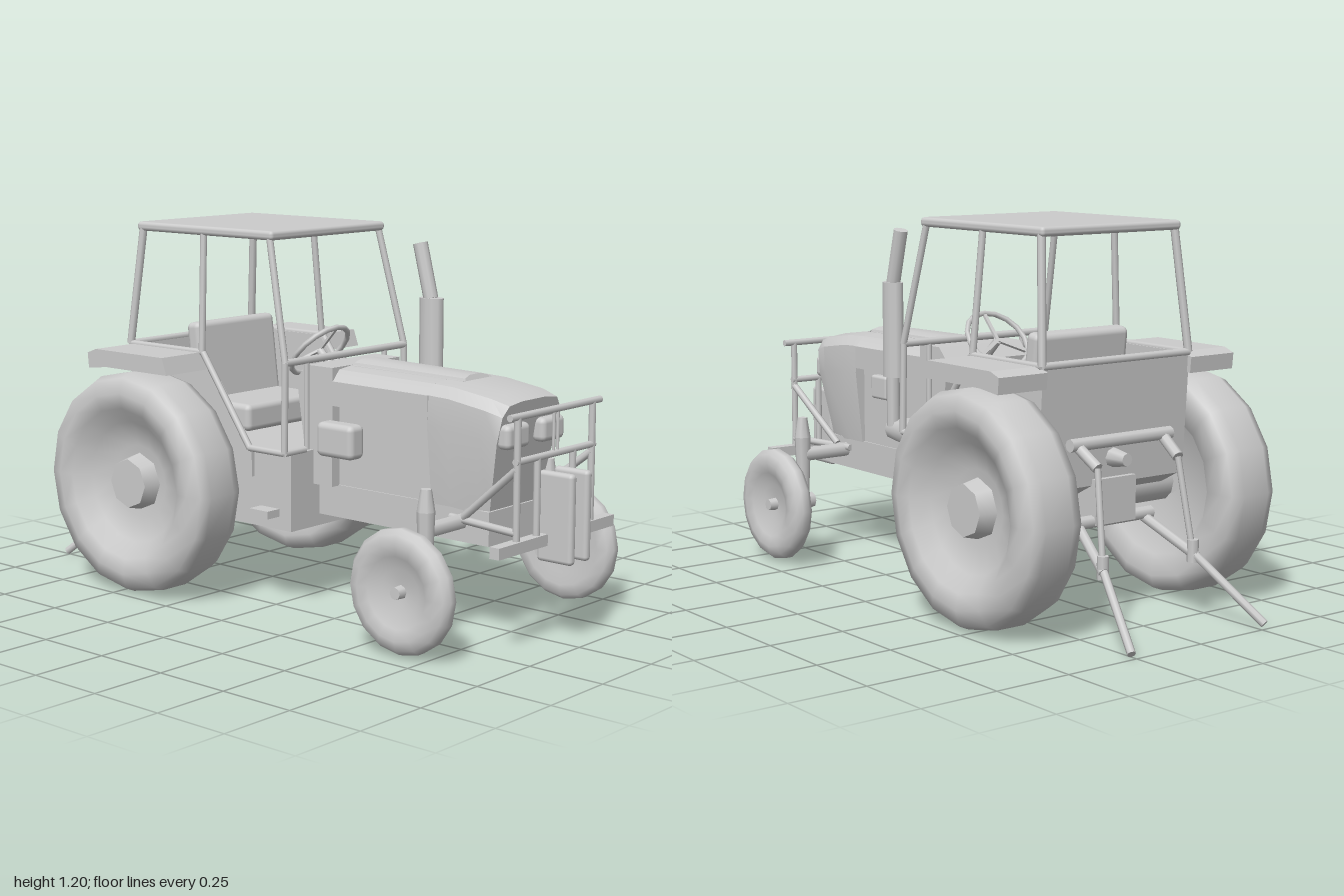
import * as THREE from 'three';
import { toCreasedNormals } from 'three/addons/utils/BufferGeometryUtils.js';
import { RoundedBoxGeometry } from 'three/addons/geometries/RoundedBoxGeometry.js';

const mat = new THREE.MeshStandardMaterial({ color: 0xcccccc });
const matDouble = new THREE.MeshStandardMaterial({ color: 0xcccccc, side: THREE.DoubleSide });
const V = (p) => new THREE.Vector3(...p);

export function createModel() {
  const model = new THREE.Group();
  model.name = 'tractor';

  const add = (name, geo, x = 0, y = 0, z = 0, parent = model, m = mat) => {
    const mesh = new THREE.Mesh(geo, m);
    mesh.name = name;
    mesh.position.set(x, y, z);
    parent.add(mesh);
    return mesh;
  };
  const box = (name, w, h, d, x, y, z) => add(name, new THREE.BoxGeometry(w, h, d), x, y, z);
  const soft = (name, w, h, d, x, y, z, r = 0.02) => add(name, new RoundedBoxGeometry(w, h, d, 2, r), x, y, z);
  // Round bar from a to b, optionally tapered
  const rod = (name, a, b, r, r2 = r, sides = 8) => {
    const from = V(a), dir = V(b).sub(from);
    const mesh = add(name, new THREE.CylinderGeometry(r2, r, dir.length(), sides));
    mesh.position.copy(from).addScaledVector(dir, 0.5);
    mesh.quaternion.setFromUnitVectors(new THREE.Vector3(0, 1, 0), dir.normalize());
    return mesh;
  };
  // Side profile of [z, y] points, extruded across x
  const profile = (name, pts, width, x = 0) => {
    const shape = new THREE.Shape(pts.map((p) => new THREE.Vector2(...p)));
    const geo = new THREE.ExtrudeGeometry(shape, { depth: width, bevelEnabled: false });
    geo.translate(0, 0, -width / 2).rotateY(-Math.PI / 2);
    return add(name, geo, x, 0, 0, model, matDouble);
  };
  // Loft of hood sections, back to front: [zTop, zBottom, halfTop, halfBottom, yTop, yBottom]
  const loft = (name, sections) => {
    const rings = sections.map(([zt, zb, w, wb, t, b]) => {
      const half = [[wb, b], [w, t - (t - b) * 0.35], [w * 0.97, t - 0.04], [w * 0.8, t - 0.008], [w * 0.4, t]];
      return [...half, ...half.map(([x, y]) => [-x, y]).reverse()]
        .map(([x, y]) => [x, y, zb + (zt - zb) * (y - b) / (t - b)]);
    });
    const pos = [], n = rings[0].length, last = rings.length - 1;
    const tri = (...p) => p.forEach((q) => pos.push(...q));
    for (let i = 0; i < last; i++) for (let j = 0; j < n; j++) {
      const k = (j + 1) % n, A = rings[i], B = rings[i + 1];
      tri(A[j], A[k], B[k]);
      tri(A[j], B[k], B[j]);
    }
    for (let j = 1; j < n - 1; j++) {
      tri(rings[last][0], rings[last][j], rings[last][j + 1]);
      tri(rings[0][0], rings[0][j + 1], rings[0][j]);
    }
    const geo = new THREE.BufferGeometry();
    geo.setAttribute('position', new THREE.Float32BufferAttribute(pos, 3));
    return add(name, toCreasedNormals(geo, 0.6));
  };
  // Dished wheel, axis along x, outer face toward side s
  const wheel = (name, pts, sides, x, y, z, s) => {
    const group = new THREE.Group();
    group.name = name;
    const geo = new THREE.LatheGeometry(pts.map((p) => new THREE.Vector2(...p)), sides);
    geo.rotateZ(-Math.PI / 2);
    add('tyre', geo, 0, 0, 0, group, matDouble);
    group.position.set(x, y, z);
    if (s < 0) group.rotation.y = Math.PI;
    model.add(group);
    return group;
  };
  const hub = (group, r, len, x, sides) =>
    add('hub', new THREE.CylinderGeometry(r * 0.85, r, len, sides).rotateZ(-Math.PI / 2), x, 0, 0, group);

  // Hood, engine and chassis
  loft('hoodFront', [
    [0.545, 0.545, 0.165, 0.14, 0.775, 0.4], [0.62, 0.62, 0.165, 0.14, 0.772, 0.4],
    [0.76, 0.71, 0.163, 0.13, 0.752, 0.39], [0.82, 0.75, 0.15, 0.12, 0.735, 0.39]]);
  loft('hoodRear', [[0.15, 0.15, 0.165, 0.165, 0.78, 0.66], [0.546, 0.546, 0.165, 0.165, 0.775, 0.66]]);
  loft('hoodRidge', [[0.17, 0.17, 0.08, 0.08, 0.795, 0.75], [0.6, 0.62, 0.07, 0.08, 0.788, 0.75]]);
  box('engine', 0.26, 0.28, 0.47, 0, 0.53, 0.32);
  box('chassisBeam', 0.27, 0.105, 0.68, 0, 0.35, 0.42);
  profile('cowl', [[0.165, 0.4], [0.165, 0.78], [0.06, 0.78], [0.015, 0.735], [0.05, 0.5], [0.05, 0.4]], 0.33);
  profile('belly', [[0.085, 0.26], [0.085, 0.51], [-0.6, 0.51], [-0.6, 0.42], [-0.3, 0.26]], 0.54);
  soft('engineSidePanel', 0.04, 0.08, 0.09, 0.135, 0.605, 0.425, 0.01);
  soft('airFilter', 0.07, 0.11, 0.15, -0.185, 0.56, 0.215);
  rod('hornCone', [0.17, 0.55, 0.05], [0.17, 0.55, 0.0], 0.035, 0.01);
  rod('silencerBox', [0.18, 0.485, 0.3], [0.18, 0.485, 0.15], 0.035, 0.055);

  // Exhaust stack
  rod('exhaustLower', [0.2, 0.5, 0.27], [0.2, 0.67, 0.27], 0.022);
  rod('exhaustMuffler', [0.2, 0.665, 0.268], [0.2, 0.977, 0.268], 0.03, 0.03, 12).scale.z = 1.45;
  rod('exhaustPipe', [0.2, 0.975, 0.265], [0.2, 1.15, 0.22], 0.024, 0.024, 10);

  // Steering wheel with spokes
  const steering = new THREE.Group();
  steering.name = 'steeringWheel';
  add('rim', new THREE.TorusGeometry(0.11, 0.009, 6, 16), 0, 0, 0, steering);
  for (let i = 0; i < 3; i++) {
    const spoke = add('spoke', new THREE.BoxGeometry(0.012, 0.11, 0.008).translate(0, 0.055, 0), 0, 0, 0, steering);
    spoke.rotation.z = i * Math.PI * 2 / 3;
  }
  steering.position.set(0, 0.8, -0.035);
  steering.rotation.x = 0.74;
  model.add(steering);
  rod('steeringColumn', [0, 0.8, -0.035], [0, 0.69, 0.08], 0.014);

  // Cab floor parts, seat, back wall and roof
  soft('seatBack', 0.37, 0.33, 0.06, 0, 0.71, -0.42).rotation.x = -0.12;
  soft('seatCushion', 0.37, 0.09, 0.24, 0, 0.58, -0.3);
  profile('cabBackWall', [[-0.625, 0.8], [-0.61, 0.8], [-0.585, 0.42], [-0.6, 0.42]], 0.58);
  soft('roof', 0.55, 0.03, 0.61, 0, 1.19, -0.295, 0.012);
  rod('frontBeltRail', [-0.29, 0.8, 0.08], [0.29, 0.8, 0.08], 0.012);
  rod('rearBeltRail', [-0.29, 0.8, -0.62], [0.29, 0.8, -0.62], 0.012);

  // Front guard bars
  rod('guardTopBar', [-0.23, 0.715, 0.9], [0.23, 0.715, 0.9], 0.011);
  rod('guardMiddleBar', [-0.2, 0.582, 0.9], [0.2, 0.582, 0.9], 0.011);
  box('guardBottomBar', 0.59, 0.035, 0.035, 0, 0.33, 0.9);
  rod('frontAxleBeam', [-0.31, 0.36, 0.655], [0.31, 0.36, 0.655], 0.024);
  rod('rearAxle', [-0.32, 0.375, -0.46], [0.32, 0.375, -0.46], 0.07, 0.07, 12);

  // Three-point hitch
  rod('hitchBar', [-0.2, 0.56, -0.64], [0.2, 0.56, -0.64], 0.02);
  rod('topLinkMount', [0, 0.5, -0.58], [0, 0.5, -0.67], 0.035, 0.02);
  rod('hitchCrossBar', [-0.16, 0.31, -0.6], [0.16, 0.31, -0.6], 0.02);
  box('hitchBlock', 0.16, 0.14, 0.12, 0, 0.37, -0.56);

  const rearTyre = [[0.05, -0.03], [0.2, -0.045], [0.24, -0.09], [0.31, -0.1], [0.35, -0.09], [0.365, -0.05],
    [0.365, 0.05], [0.35, 0.085], [0.3, 0.1], [0.25, 0.09], [0.2, 0.045], [0.12, 0.015], [0, 0.015]];
  const frontTyre = [[0, -0.02], [0.1, -0.025], [0.14, -0.036], [0.175, -0.03], [0.19, -0.012],
    [0.19, 0.012], [0.175, 0.03], [0.145, 0.038], [0.11, 0.03], [0.07, 0.01], [0, 0.005]];

  for (const s of [1, -1]) {
    const bar = (name, a, b, ...r) => rod(name, [a[0] * s, a[1], a[2]], [b[0] * s, b[1], b[2]], ...r);

    // Wheels
    hub(wheel('rearWheel', rearTyre, 16, s * 0.39, 0.37, -0.463, s), 0.095, 0.06, 0.04, 8);
    hub(wheel('frontWheel', frontTyre, 16, s * 0.417, 0.2, 0.66, s), 0.022, 0.04, 0.015, 8);

    // Front axle ends
    bar('kingpin', [0.31, 0.2, 0.66], [0.31, 0.42, 0.66], 0.02, 0.028);
    bar('kingpinCap', [0.31, 0.42, 0.66], [0.31, 0.488, 0.66], 0.028, 0.017);
    bar('stubAxle', [0.275, 0.197, 0.66], [0.4, 0.197, 0.66], 0.027);

    // Guard uprights, braces, weights and headlights
    bar('guardUpright', [0.19, 0.33, 0.9], [0.19, 0.715, 0.9], 0.011);
    bar('guardInnerUpright', [0.09, 0.33, 0.9], [0.09, 0.582, 0.9], 0.011);
    bar('guardCentreUpright', [0.01, 0.582, 0.9], [0.01, 0.715, 0.9], 0.005);
    bar('guardBrace', [0.19, 0.56, 0.9], [0.155, 0.38, 0.68], 0.012);
    bar('guardLowerBrace', [0.19, 0.37, 0.9], [0.14, 0.37, 0.62], 0.012);
    soft('frontWeight', 0.03, 0.275, 0.125, s * 0.04, 0.398, 0.937, 0.013);
    soft('headlight', 0.115, 0.075, 0.05, s * 0.088, 0.635, 0.81, 0.018);

    // Cab frame: posts, door edge and rails
    const joints = [[0.29, 0.8, 0.08], [0.295, 0.515, 0.08], [0.295, 0.515, -0.07], [0.29, 0.8, -0.28], [0.29, 0.8, -0.62]];
    for (let i = 0; i < 4; i++) bar('cabRail', joints[i], joints[i + 1], 0.011);
    bar('frontPost', [0.29, 0.8, 0.08], [0.262, 1.185, -0.01], 0.011);
    bar('middlePost', [0.29, 0.8, -0.285], [0.262, 1.185, -0.3], 0.011);
    bar('rearPost', [0.29, 0.8, -0.62], [0.262, 1.185, -0.58], 0.013);
    bar('cabSill', [0.2, 0.515, 0.08], [0.295, 0.515, 0.08], 0.011);
    bar('dashPost', [0.19, 0.515, 0.08], [0.19, 0.8, 0.08], 0.009);

    // Fenders with inner walls, and side steps
    profile('fenderWall', [[-0.07, 0.51], [-0.28, 0.8], [-0.62, 0.8], [-0.595, 0.42], [-0.07, 0.42]], 0.012, s * 0.28);
    profile('fender', [[-0.27, 0.745], [-0.29, 0.8], [-0.6, 0.8], [-0.64, 0.785], [-0.635, 0.735], [-0.55, 0.745]], 0.18, s * 0.375);
    box('step', 0.07, 0.025, 0.08, s * 0.29, 0.315, -0.005);

    // Lower links and lift rods
    bar('lowerLinkInner', [0.13, 0.3, -0.6], [0.185, 0.2, -0.78], 0.016);
    bar('lowerLinkOuter', [0.18, 0.21, -0.77], [0.265, 0.02, -0.995], 0.013);
    bar('liftArm', [0.17, 0.56, -0.63], [0.16, 0.5, -0.72], 0.018);
    bar('liftRod', [0.16, 0.5, -0.72], [0.18, 0.21, -0.77], 0.01);
    bar('linkJoint', [0.18, 0.18, -0.77], [0.18, 0.25, -0.77], 0.018);
  }
  return model;
}
